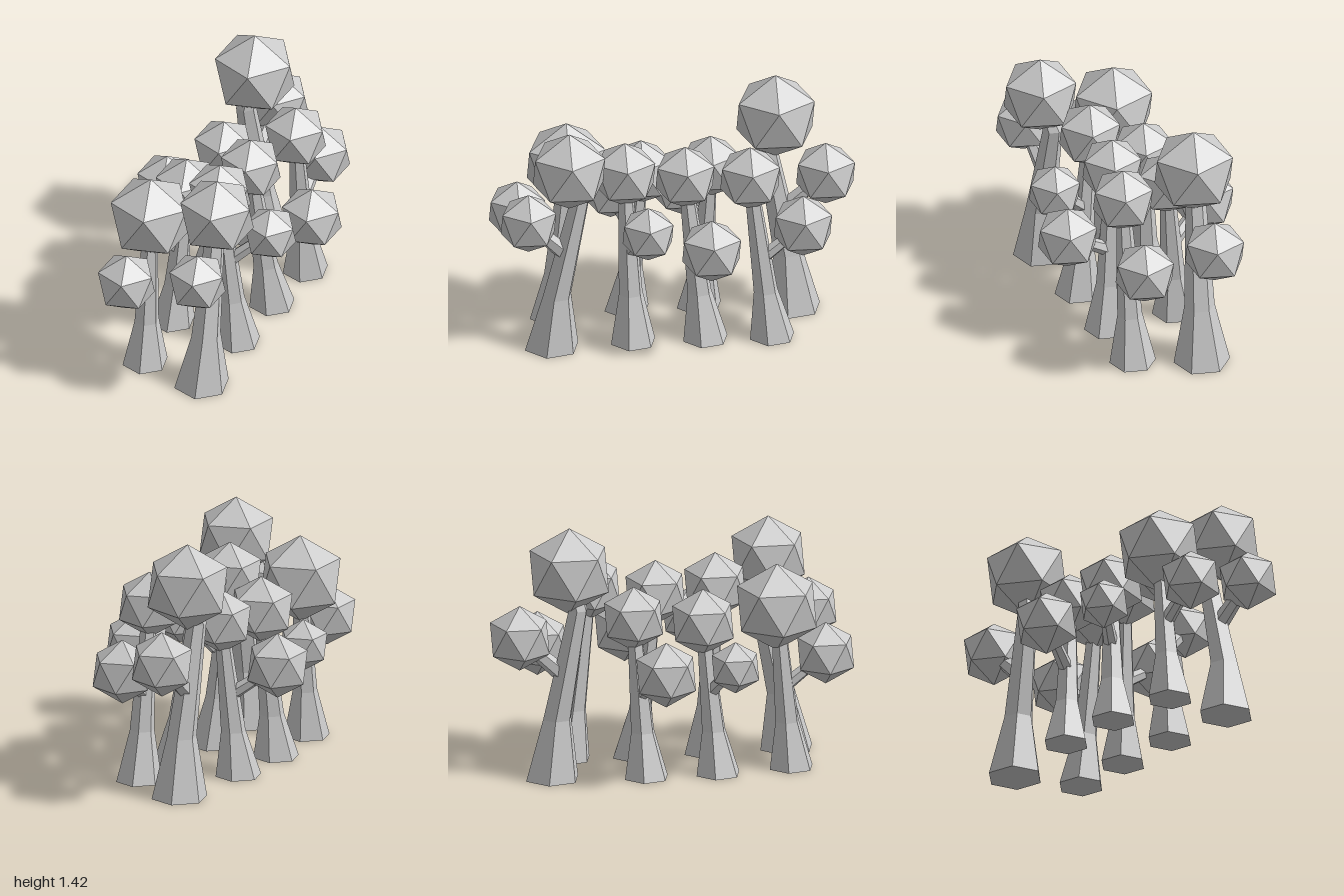
import * as THREE from 'three';

const material = new THREE.MeshStandardMaterial({ color: 0xcccccc, flatShading: true });
const V = (p) => new THREE.Vector3(...p);

// Each tree: trunk foot [x, z] and radius, main crown [x, y, z] and radius,
// small crown and radius, and how far the neck bows out [x, z]
const TREES = [
  { foot: [0.205, 0.696], r: 0.155, main: [0.252, 1.088, 0.604], R: 0.226, small: [0.251, 0.78, 0.827], s: 0.173, bow: [-0.04, -0.08] },
  { foot: [0.185, 0.247], r: 0.128, main: [0.097, 0.978, 0.283], R: 0.19, small: [0.353, 0.735, 0.18], s: 0.159 },
  { foot: [0.185, -0.15], r: 0.128, main: [0.11, 0.952, -0.046], R: 0.184, small: [0.427, 0.653, -0.162], s: 0.184 },
  { foot: [0.195, -0.515], r: 0.128, main: [0.2, 0.975, -0.395], R: 0.187, small: [0.198, 0.668, -0.685], s: 0.182 },
  { foot: [-0.165, 0.66], r: 0.128, main: [-0.173, 0.922, 0.58], R: 0.246, small: [-0.178, 0.647, 0.85], s: 0.175 },
  { foot: [-0.22, 0.245], r: 0.128, main: [-0.172, 0.855, 0.17], R: 0.19, small: [-0.35, 0.64, 0.32], s: 0.146 },
  { foot: [-0.22, -0.152], r: 0.128, main: [-0.145, 0.886, -0.21], R: 0.182, small: [-0.425, 0.641, -0.077], s: 0.184 },
  { foot: [-0.153, -0.663], r: 0.156, main: [-0.147, 1.176, -0.567], R: 0.245, small: [-0.15, 0.808, -0.842], s: 0.184, bow: [-0.03, 0.06] },
];

function addMesh(parent, name, geometry) {
  const mesh = new THREE.Mesh(geometry, material);
  mesh.name = name;
  parent.add(mesh);
  return mesh;
}

// Twenty-sided crown standing on a corner
function addCrown(parent, name, centre, radius) {
  const geometry = new THREE.IcosahedronGeometry(radius, 0);
  geometry.rotateZ(-Math.atan(2 / (1 + Math.sqrt(5))));
  addMesh(parent, name, geometry).position.copy(centre);
}

// Six-sided trunk whose level rings follow the given points and radii
function trunkGeometry(points, radii) {
  const n = points.length - 1;
  const geometry = new THREE.CylinderGeometry(1, 1, 1, 6, n, false, Math.PI / 12);
  const pos = geometry.attributes.position;
  for (let i = 0; i < pos.count; i++) {
    const k = Math.round((pos.getY(i) + 0.5) * n);
    const p = points[k];
    pos.setXYZ(i, p.x + pos.getX(i) * radii[k], p.y, p.z + pos.getZ(i) * radii[k]);
  }
  geometry.computeVertexNormals();
  return geometry;
}

// Tapered six-sided branch between two points
function addBranch(parent, from, to, r0, r1) {
  const dir = to.clone().sub(from);
  const branch = addMesh(parent, 'branch', new THREE.CylinderGeometry(r1, r0, dir.length(), 6));
  branch.position.copy(from).addScaledVector(dir, 0.5);
  branch.quaternion.setFromUnitVectors(new THREE.Vector3(0, 1, 0), dir.normalize());
}

function createTree({ foot, r, main, R, small, s, bow = [0, 0] }) {
  const tree = new THREE.Group();
  tree.name = 'tree';
  const base = V([foot[0], 0, foot[1]]);
  const crown = V(main);
  const side = V(small);

  // Trunk: wide foot, a bend low down and another just under the crown
  const bend = base.clone().lerp(crown, 0.29);
  const neck = base.clone().lerp(crown, 0.82);
  neck.x += bow[0];
  neck.z += bow[1];
  addMesh(tree, 'trunk', trunkGeometry([base, bend, neck, crown], [r, r * 0.54, r * 0.36, r * 0.3]));

  // Branch leaving the trunk towards the small crown
  const y = side.y * 0.75;
  const start = bend.clone().lerp(neck, (y - bend.y) / (neck.y - bend.y));
  start.lerp(side, 0.12);
  start.y = y;
  addBranch(tree, start, side, r * 0.31, r * 0.23);

  addCrown(tree, 'mainCrown', crown, R);
  addCrown(tree, 'smallCrown', side, s);
  return tree;
}

export function createModel() {
  const model = new THREE.Group();
  model.name = 'treeGrove';
  for (const spec of TREES) model.add(createTree(spec));
  return model;
}
